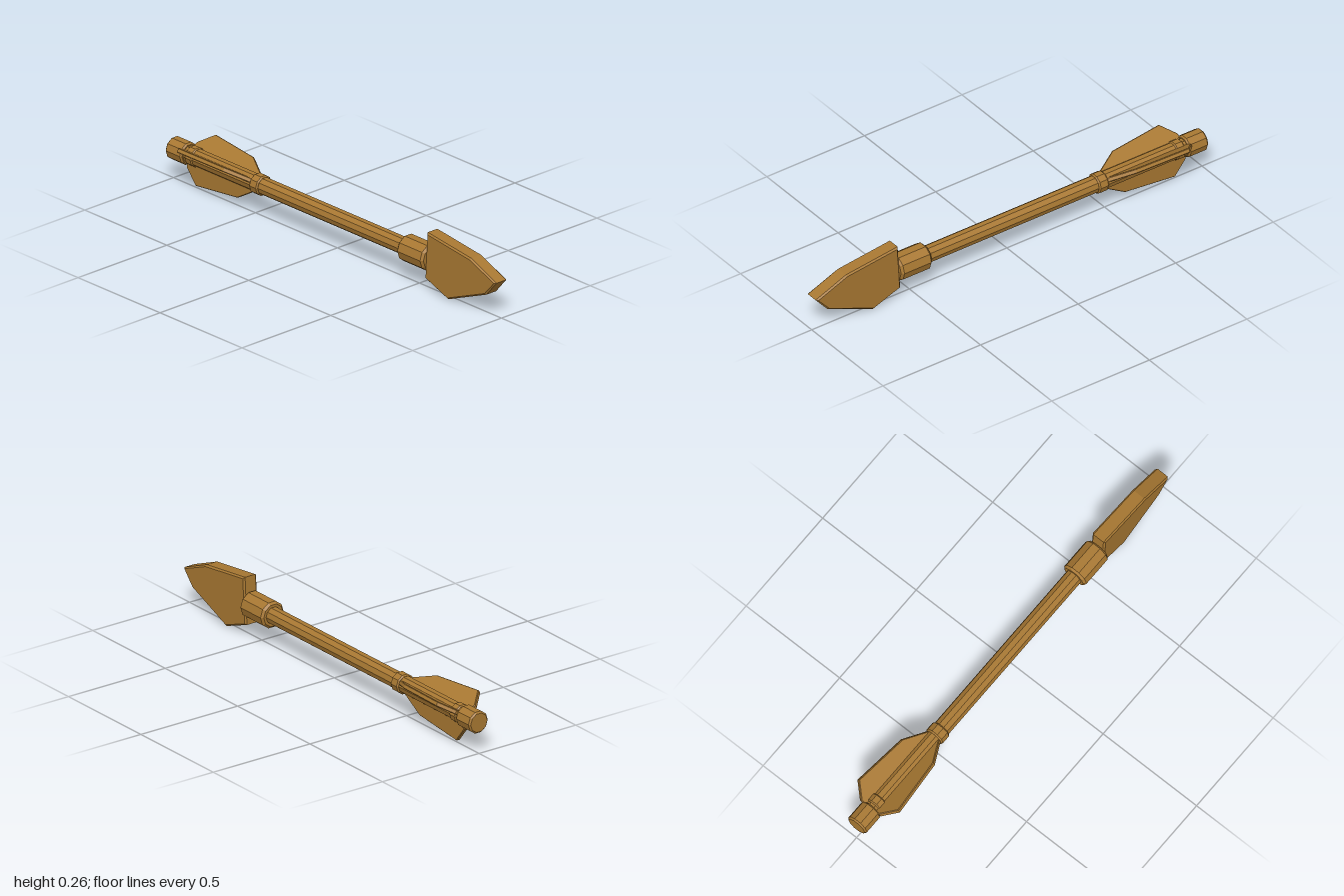
import * as THREE from 'three';

const AXIS_Y = 0.139;
const SIDES = 10;

export function createModel() {
  const model = new THREE.Group();
  model.name = 'arrow';
  const wood = new THREE.MeshStandardMaterial({ color: 0xa87832, flatShading: true });

  const add = (name, geometry) => {
    const mesh = new THREE.Mesh(geometry, wood);
    mesh.name = name;
    mesh.position.y = AXIS_Y;
    model.add(mesh);
    return mesh;
  };

  // Ten-sided bar with chamfered ends, lying along z
  const bar = (name, z0, z1, r, c) => {
    const profile = [[0, z0], [r - c, z0], [r, z0 + c], [r, z1 - c], [r - c, z1], [0, z1]]
      .map(([x, y]) => new THREE.Vector2(x, y));
    const geometry = new THREE.LatheGeometry(profile, SIDES, Math.PI / 2);
    return add(name, geometry.rotateX(Math.PI / 2));
  };

  // Bevelled plate whose outline is given as (z, height above the axis)
  const plate = (name, outline, thickness, bevel) => {
    const shape = new THREE.Shape(outline.map(([z, h]) => new THREE.Vector2(z, h)));
    const geometry = new THREE.ExtrudeGeometry(shape, {
      depth: thickness - 2 * bevel, bevelEnabled: true,
      bevelThickness: bevel, bevelSize: bevel, bevelOffset: -bevel, bevelSegments: 1,
    });
    geometry.translate(0, 0, bevel - thickness / 2);
    return add(name, geometry.rotateY(-Math.PI / 2));
  };

  // Shaft and its fittings
  bar('shaft', -0.95, 0.5, 0.038, 0.003);
  bar('headSocket', 0.42, 0.578, 0.06, 0.01);
  bar('frontBinding', -0.495, -0.445, 0.045, 0.006);
  bar('rearBinding', -0.89, -0.848, 0.043, 0.005);
  bar('nock', -1, -0.902, 0.05, 0.007);

  // Chunky, uneven arrowhead
  plate('arrowhead', [
    [0.567, -0.086], [0.706, -0.138], [0.938, -0.044],
    [1, 0.027], [0.845, 0.091], [0.58, 0.124],
  ], 0.068, 0.007);

  // Three fins spaced evenly around the shaft, one pointing down
  for (let i = 0; i < 3; i++) {
    const fin = plate('fin', [
      [-0.91, 0.01], [-0.49, 0.01], [-0.49, 0.035],
      [-0.6, 0.1], [-0.856, 0.127], [-0.91, 0.06],
    ], 0.02, 0.003);
    fin.rotation.z = Math.PI + i * Math.PI * 2 / 3;
  }

  return model;
}
